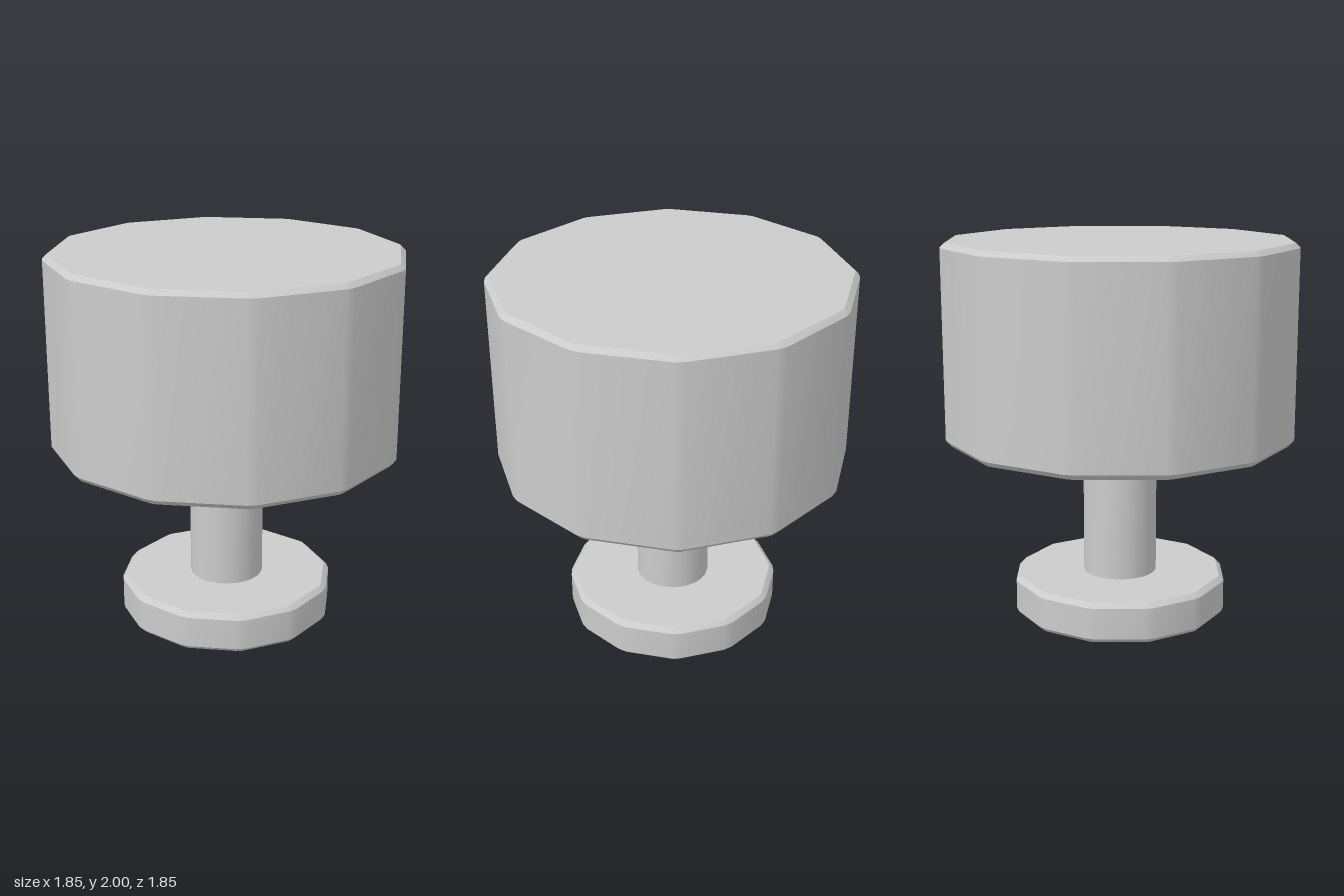
import * as THREE from 'three';
import { toCreasedNormals } from 'three/addons/utils/BufferGeometryUtils.js';

const SIDES = 12;

// Outline of a twelve-sided polygon whose corners are cut by a small flat of half-width h
function outline(r, y, h) {
  const points = [];
  const cut = r - h * Math.tan(Math.PI / SIDES);
  for (let i = 0; i < SIDES; i++) {
    const a = (i / SIDES) * Math.PI * 2;
    for (const s of [-h, h]) {
      points.push([cut * Math.cos(a) - s * Math.sin(a), y, cut * Math.sin(a) + s * Math.cos(a)]);
    }
  }
  return points;
}

// Solid through the rings [radius, y, corner half-width], listed bottom to top, closed by fans
function prism(name, rings, bottomY, topY) {
  const loops = rings.map(([r, y, h]) => outline(r, y, h));
  const n = SIDES * 2;
  const positions = [];
  const tri = (...corners) => corners.forEach((p) => positions.push(...p));
  const last = loops.length - 1;
  for (let i = 0; i < n; i++) {
    const j = (i + 1) % n;
    for (let k = 0; k < last; k++) {
      const low = loops[k], high = loops[k + 1];
      tri(low[i], high[i], low[j]);
      tri(low[j], high[i], high[j]);
    }
    tri([0, bottomY, 0], loops[0][i], loops[0][j]);
    tri([0, topY, 0], loops[last][j], loops[last][i]);
  }
  const geometry = new THREE.BufferGeometry();
  geometry.setAttribute('position', new THREE.Float32BufferAttribute(positions, 3));
  const mesh = new THREE.Mesh(
    toCreasedNormals(geometry, 0.5),
    new THREE.MeshStandardMaterial({ color: 0xcccccc })
  );
  mesh.name = name;
  return mesh;
}

export function createModel() {
  const group = new THREE.Group();
  group.name = 'pedestalDrum';

  // Bevelled foot disc
  group.add(prism('base', [
    [0.55, 0, 0.012], [0.577, 0.025, 0.026], [0.577, 0.19, 0.026], [0.55, 0.215, 0.012],
  ], 0, 0.215));

  // Slim column, its ends sunk into the base and the drum
  group.add(prism('stem', [[0.202, 0.2, 0.026], [0.202, 0.97, 0.026]], 0.2, 0.97));

  // Large bevelled drum with a slightly conical underside
  group.add(prism('drum', [
    [0.906, 0.96, 0.012], [0.933, 0.988, 0.026], [0.933, 1.975, 0.026], [0.906, 2, 0.012],
  ], 0.95, 2));

  return group;
}
